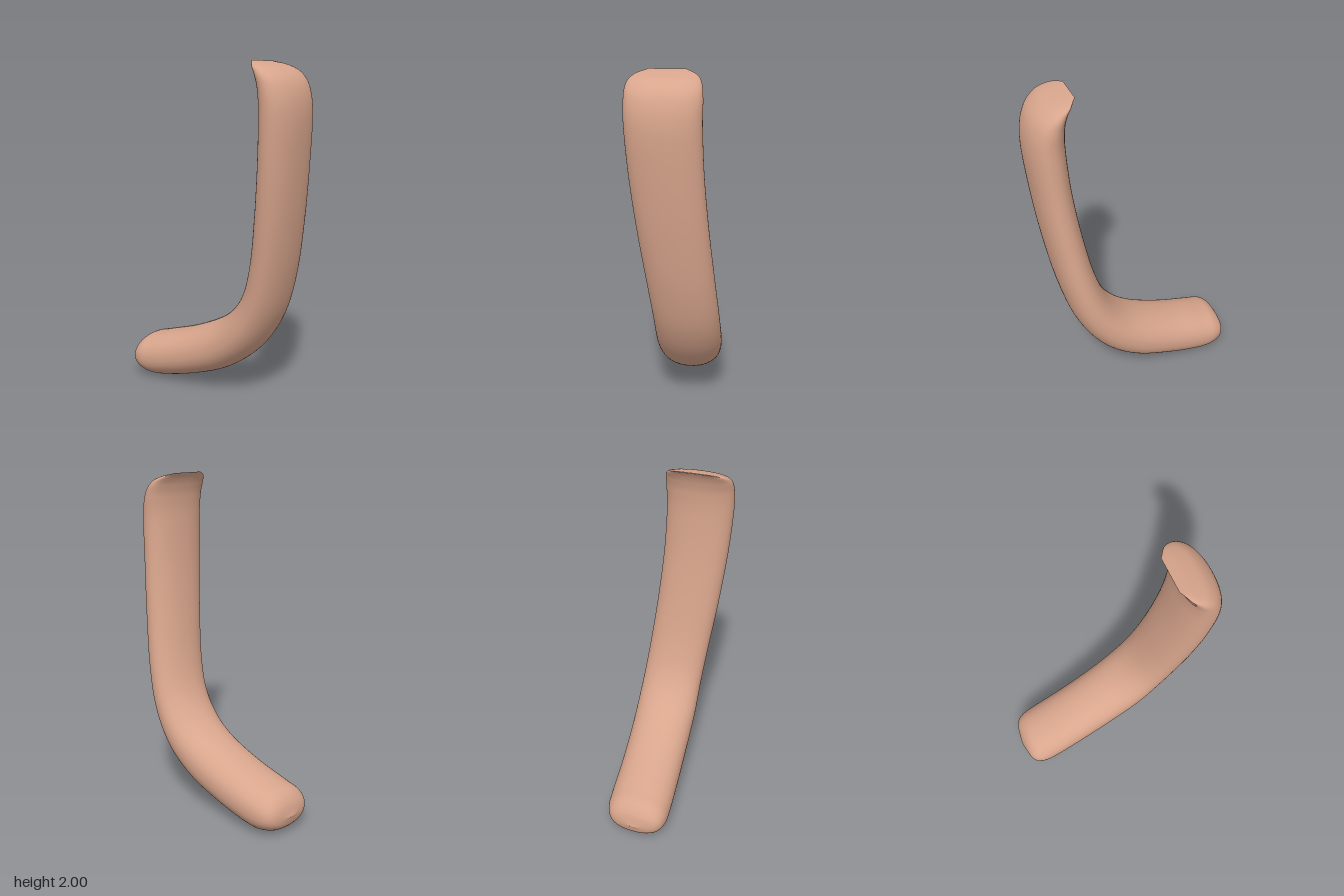
import * as THREE from 'three';

// Stations along the bent limb, top to foot:
// [outer z, outer y, inner z, inner y, centre x, half width]
const stations = [
  [0.338, 2.0, 0.337, 1.999, -0.045, 0.1],
  [0.42, 1.985, 0.357, 1.965, -0.048, 0.165],
  [0.51, 1.95, 0.373, 1.92, -0.05, 0.195],
  [0.577, 1.87, 0.386, 1.85, -0.05, 0.204],
  [0.605, 1.72, 0.39, 1.72, -0.049, 0.203],
  [0.588, 1.45, 0.374, 1.45, -0.034, 0.199],
  [0.55, 1.13, 0.337, 1.16, -0.005, 0.195],
  [0.49, 0.8, 0.285, 0.88, 0.03, 0.191],
  [0.405, 0.53, 0.22, 0.685, 0.052, 0.19],
  [0.265, 0.31, 0.125, 0.55, 0.057, 0.193],
  [0.07, 0.155, -0.01, 0.45, 0.052, 0.191],
  [-0.17, 0.06, -0.22, 0.355, 0.036, 0.19],
  [-0.4, 0.005, -0.43, 0.288, 0.02, 0.19],
  [-0.51, 0.01, -0.53, 0.255, 0.012, 0.18],
  [-0.58, 0.05, -0.582, 0.2, 0.01, 0.135],
  [-0.606, 0.118, -0.606, 0.119, 0.01, 0.02],
];

// Superellipse coordinate for a slightly full oval section
const full = (v) => Math.sign(v) * Math.pow(Math.abs(v), 0.92);

function limbGeometry(rows, sides) {
  const curve = (f) => new THREE.CatmullRomCurve3(stations.map(f), false, 'catmullrom', 0.5);
  const outer = curve((s) => new THREE.Vector3(s[4], s[1], s[0]));
  const inner = curve((s) => new THREE.Vector3(s[4], s[3], s[2]));
  const width = curve((s) => new THREE.Vector3(s[5], 0, 0));
  const positions = [];
  const index = [];
  for (let i = 0; i <= rows; i++) {
    const t = i / rows;
    const o = outer.getPoint(t);
    const n = inner.getPoint(t);
    const w = width.getPoint(t).x;
    const mid = o.clone().add(n).multiplyScalar(0.5);
    const half = o.clone().sub(n).multiplyScalar(0.5);
    for (let j = 0; j < sides; j++) {
      const a = (j / sides) * Math.PI * 2;
      const p = mid.clone().addScaledVector(half, full(Math.sin(a)));
      positions.push(p.x + w * full(Math.cos(a)), p.y, p.z);
      if (i < rows) {
        const k = (j + 1) % sides;
        const r0 = i * sides;
        const r1 = r0 + sides;
        index.push(r0 + j, r0 + k, r1 + j, r0 + k, r1 + k, r1 + j);
      }
    }
  }
  // Close the rounded foot end
  const last = rows * sides;
  for (let j = 1; j < sides - 1; j++) index.push(last, last + j, last + j + 1);
  const g = new THREE.BufferGeometry();
  g.setAttribute('position', new THREE.Float32BufferAttribute(positions, 3));
  g.setIndex(index);
  g.computeVertexNormals();
  return g;
}

export function createModel() {
  const group = new THREE.Group();
  group.name = 'bentLimb';
  const material = new THREE.MeshStandardMaterial({ color: 0xd8a58c });
  const limb = new THREE.Mesh(limbGeometry(150, 64), material);
  limb.name = 'limb';
  group.add(limb);
  return group;
}
